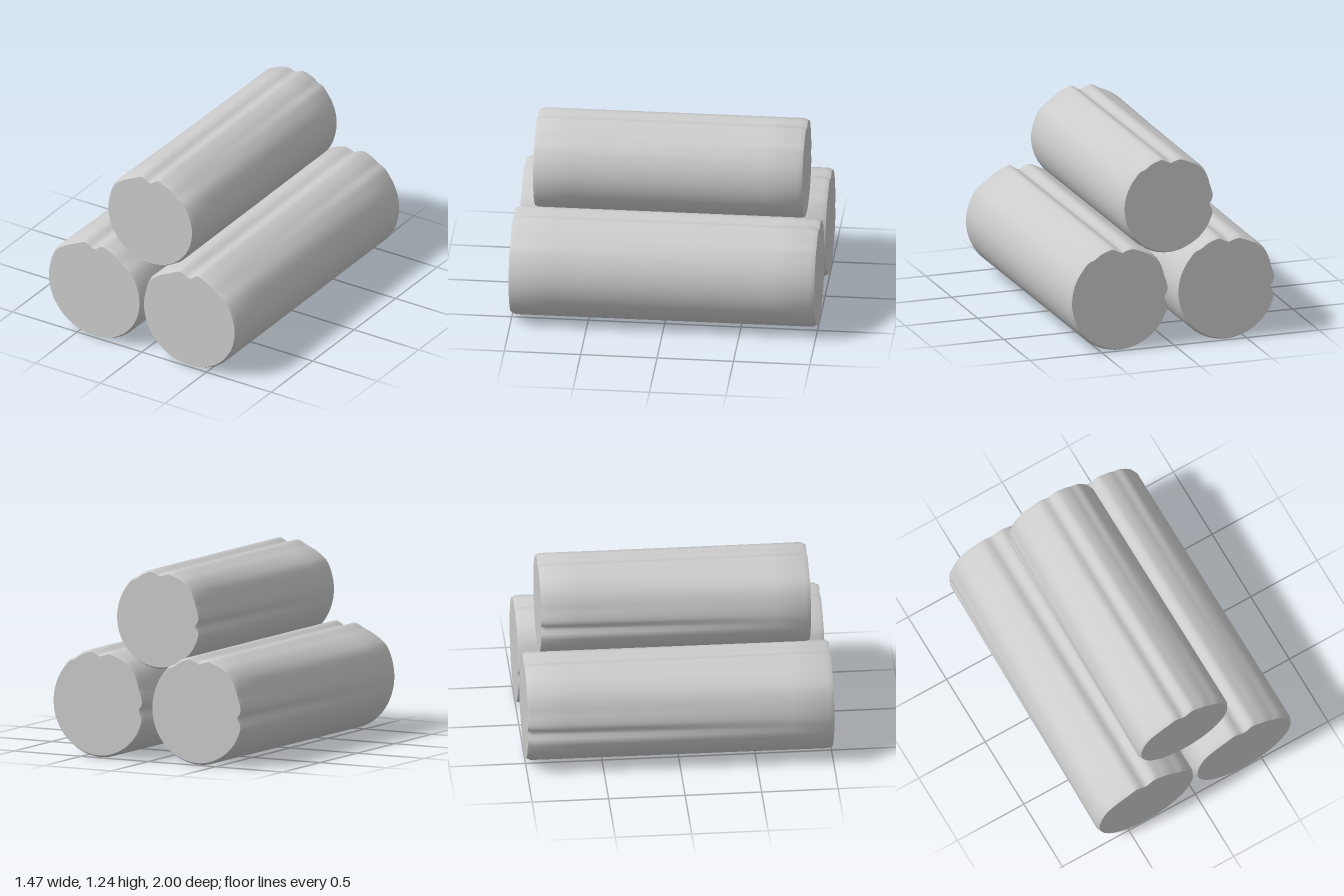
import * as THREE from 'three';
import { mergeGeometries, toCreasedNormals } from 'three/addons/utils/BufferGeometryUtils.js';

const SEGMENTS = 90;

// Bark outline as [angle in degrees, radius], counter-clockwise from +x
const FRONT = [[0, 0.365], [35, 0.359], [49, 0.342], [60, 0.347], [71, 0.348], [79, 0.358], [90, 0.305],
  [102, 0.353], [115, 0.342], [126, 0.35], [145, 0.372], [167, 0.366], [225, 0.364], [270, 0.358], [315, 0.362], [360, 0.365]];
const BACK = [[0, 0.352], [40, 0.352], [50, 0.358], [57, 0.343], [66, 0.352], [80, 0.355], [91, 0.318],
  [103, 0.35], [118, 0.35], [126, 0.356], [140, 0.35], [160, 0.33], [178, 0.336], [186, 0.303],
  [194, 0.345], [215, 0.352], [270, 0.358], [330, 0.355], [360, 0.352]];

// Linear lookup of the radius at an angle
function radiusAt(keys, deg) {
  const i = Math.max(1, keys.findIndex(([a]) => a >= deg));
  const [a0, r0] = keys[i - 1];
  const [a1, r1] = keys[i];
  return r0 + ((r1 - r0) * (deg - a0)) / (a1 - a0);
}

// Outline ring, blended from back (t = 0) to front (t = 1)
function ring(t, z, inset, scale) {
  return Array.from({ length: SEGMENTS }, (_, i) => {
    const deg = (i * 360) / SEGMENTS;
    const r = scale * THREE.MathUtils.lerp(radiusAt(BACK, deg), radiusAt(FRONT, deg), t) - inset;
    const a = THREE.MathUtils.degToRad(deg);
    return new THREE.Vector3(Math.cos(a) * r, Math.sin(a) * r, z);
  });
}

function meshFromRings(rings, index) {
  const geometry = new THREE.BufferGeometry().setFromPoints(rings.flat());
  geometry.setIndex(index);
  return geometry;
}

function logGeometry(length, scale) {
  const half = length / 2;
  const bevel = 0.03;
  const rings = [ring(0, -half, 0.014, scale)];
  for (let k = 0; k <= 8; k++) rings.push(ring(k / 8, (half - bevel) * (k / 4 - 1), 0, scale));
  rings.push(ring(1, half, 0.014, scale));

  // Bark, including the bevelled rims
  const side = [];
  for (let k = 0; k < rings.length - 1; k++) {
    for (let i = 0; i < SEGMENTS; i++) {
      const j = (i + 1) % SEGMENTS;
      const a = k * SEGMENTS + i, b = k * SEGMENTS + j;
      side.push(a, b, b + SEGMENTS, a, b + SEGMENTS, a + SEGMENTS);
    }
  }
  const bark = toCreasedNormals(meshFromRings(rings, side), THREE.MathUtils.degToRad(50));

  // Flat cut ends
  const cap = (points, z, front) => {
    const index = [];
    for (let i = 0; i < SEGMENTS; i++) {
      const j = (i + 1) % SEGMENTS;
      index.push(SEGMENTS, front ? i : j, front ? j : i);
    }
    const geometry = meshFromRings([points, [new THREE.Vector3(0, 0, z)]], index).toNonIndexed();
    geometry.computeVertexNormals();
    return geometry;
  };
  return mergeGeometries([bark, cap(rings[0], -half, false), cap(rings[rings.length - 1], half, true)]);
}

export function createModel() {
  const group = new THREE.Group();
  group.name = 'logPile';
  const material = new THREE.MeshStandardMaterial({ color: 0xcccccc });

  // Two long logs below, a shorter and thinner one resting on them
  const logs = [
    ['rightLog', -0.368, 0.359, 2, 1],
    ['leftLog', 0.368, 0.359, 2, 1],
    ['topLog', -0.012, 0.922, 1.76, 0.925],
  ];
  for (const [name, x, y, length, scale] of logs) {
    const log = new THREE.Mesh(logGeometry(length, scale), material);
    log.name = name;
    log.position.set(x, y, 0);
    group.add(log);
  }
  return group;
}
